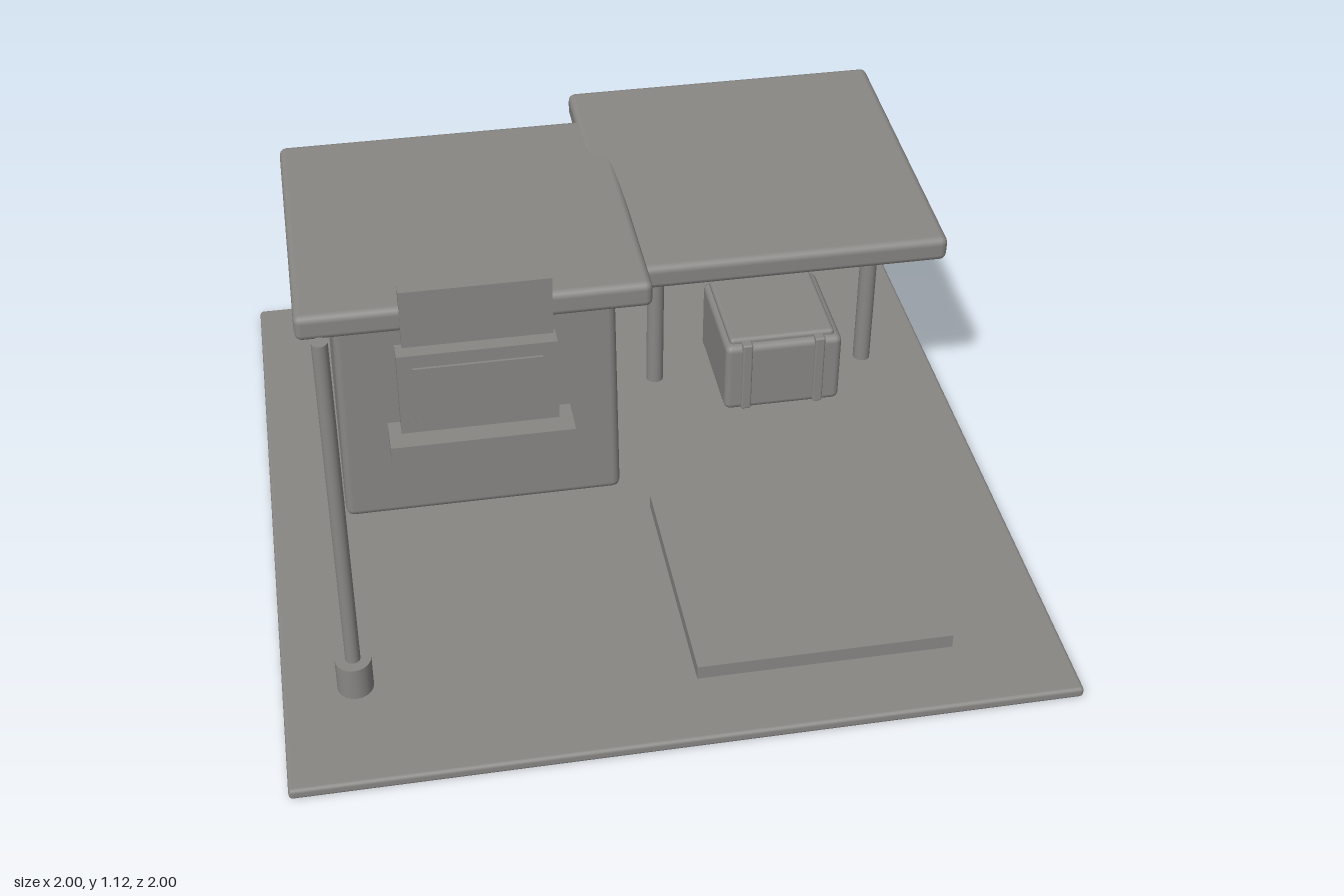
import * as THREE from 'three';
import { RoundedBoxGeometry } from 'three/addons/geometries/RoundedBoxGeometry.js';

export function createModel() {
  const group = new THREE.Group();
  const grey = new THREE.MeshStandardMaterial({ color: 0x888784 });
  grey.name = 'warm grey';

  const add = (name, geometry, x, y, z) => {
    const mesh = new THREE.Mesh(geometry, grey);
    mesh.name = name;
    mesh.position.set(x, y, z);
    group.add(mesh);
    return mesh;
  };
  // Box given by its limits on each axis, with an optional edge radius
  const box = (name, [x0, x1], [y0, y1], [z0, z1], radius = 0) => {
    const size = [x1 - x0, y1 - y0, z1 - z0];
    const geometry = radius
      ? new RoundedBoxGeometry(...size, 2, radius)
      : new THREE.BoxGeometry(...size);
    return add(name, geometry, (x0 + x1) / 2, (y0 + y1) / 2, (z0 + z1) / 2);
  };
  const rod = (name, r, x, [y0, y1], z) =>
    add(name, new THREE.CylinderGeometry(r, r, y1 - y0, 20), x, (y0 + y1) / 2, z);

  // Ground slab and low platform
  box('ground', [-1, 1], [0, 0.03], [-1, 1], 0.01);
  box('platform', [0.04, 0.71], [0.037, 0.077], [0.135, 0.805]);

  // Hut, slightly narrower at the top
  const hut = box('hutWalls', [-0.79, -0.033], [0.045, 0.687], [-0.667, 0.045], 0.022);
  const p = hut.geometry.attributes.position;
  for (let i = 0; i < p.count; i++) {
    const s = 0.987 - 0.04 * p.getY(i);
    p.setX(i, p.getX(i) * s / 0.987);
    p.setZ(i, p.getZ(i) * s / 0.987);
  }
  box('hutRoof', [-0.88, 0.05], [0.702, 0.777], [-0.742, 0.11], 0.02);

  // Serving window and sign board
  box('windowFrame', [-0.628, -0.203], [0.34, 0.615], [0.03, 0.097]);
  box('windowPane', [-0.588, -0.243], [0.37, 0.575], [0.095, 0.104]);
  box('windowShelf', [-0.662, -0.167], [0.306, 0.361], [0.03, 0.155]);
  box('signBoard', [-0.612, -0.217], [0.665, 0.838], [0.083, 0.125]);

  // Tilted canopy on two posts
  const canopy = box('canopy', [-0.028, 0.876], [0.701, 0.773], [-0.882, 0.009], 0.02);
  canopy.rotation.x = 0.041;
  for (const x of [0.16, 0.8]) rod('canopyPost', 0.025, x, [0.032, 0.667], -0.45);

  // Strapped crate with a thin lid
  box('crate', [0.33, 0.675], [0.045, 0.272], [-0.585, -0.238], 0.02);
  box('crateLid', [0.345, 0.655], [0.255, 0.287], [-0.568, -0.258], 0.012);
  for (const x of [0.393, 0.607]) {
    box('crateStrap', [x - 0.015, x + 0.015], [0.05, 0.28], [-0.592, -0.231], 0.006);
  }

  // Pole in its collar
  rod('pole', 0.019, -0.815, [0.045, 1.125], 0.69);
  rod('poleCollar', 0.046, -0.815, [0.045, 0.142], 0.69);

  return group;
}
